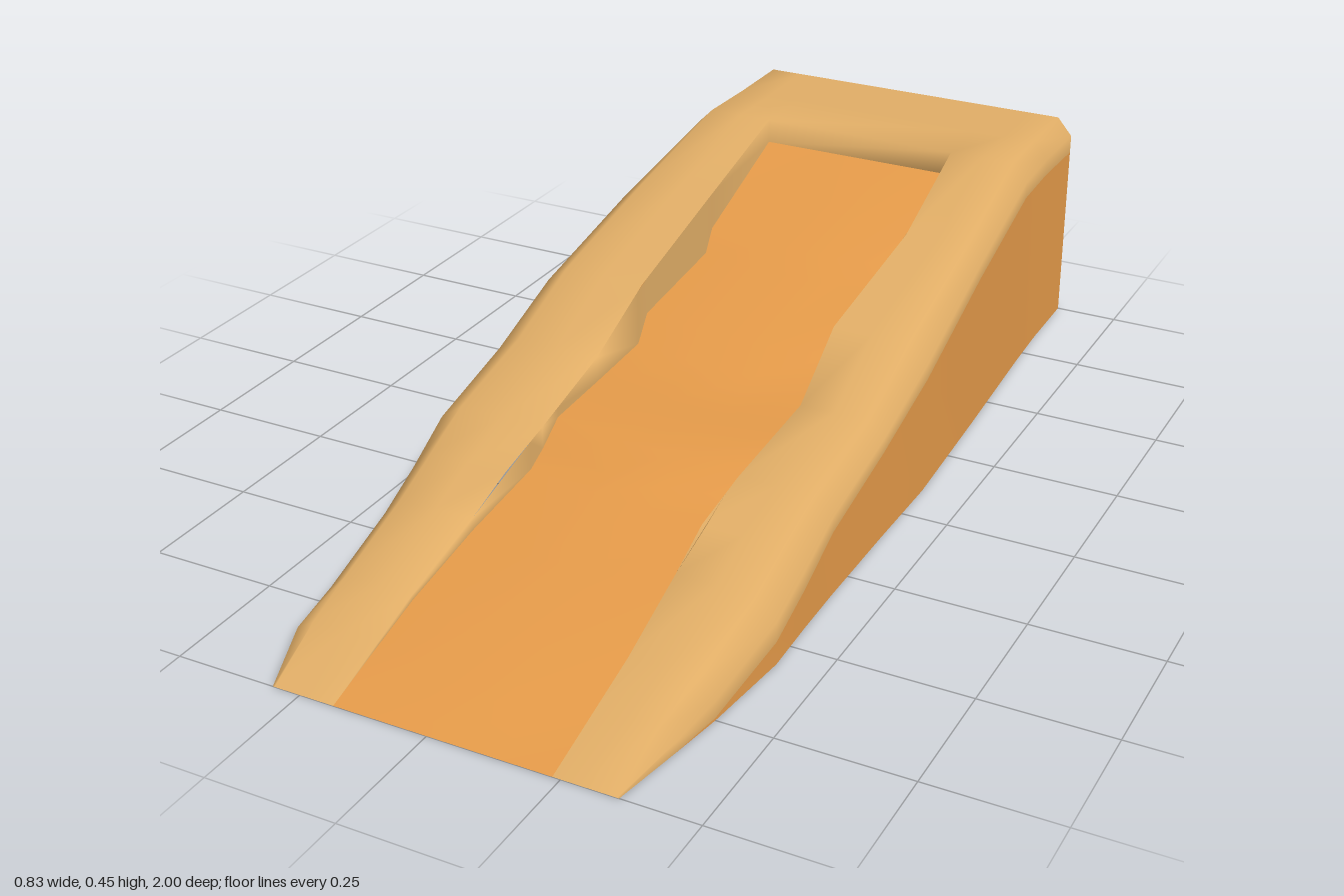
import * as THREE from 'three';
import { mergeGeometries, mergeVertices } from 'three/addons/utils/BufferGeometryUtils.js';

// Stations from back to front:
// z, crest y, lower rim edge y, outer left x, outer right x, inner left x, inner right x
const stations = [
  [-1.0, 0.45, 0.375, -0.38, 0.37, -0.21, 0.21],
  [-0.84, 0.45, 0.38, -0.38, 0.372, -0.21, 0.21],
  [-0.7, 0.45, 0.38, -0.385, 0.378, -0.212, 0.208],
  [-0.4, 0.385, 0.32, -0.4, 0.395, -0.202, 0.235],
  [-0.1, 0.307, 0.24, -0.415, 0.41, -0.2, 0.215],
  [0.1, 0.238, 0.18, -0.41, 0.408, -0.19, 0.24],
  [0.32, 0.194, 0.13, -0.404, 0.408, -0.182, 0.222],
  [0.44, 0.156, 0.08, -0.39, 0.41, -0.19, 0.211],
  [0.56, 0.124, 0.045, -0.375, 0.414, -0.186, 0.222],
  [0.75, 0.071, 0.005, -0.362, 0.395, -0.19, 0.233],
  [0.86, 0.04, 0, -0.355, 0.378, -0.187, 0.234],
  [1.0, 0, 0, -0.305, 0.355, -0.183, 0.235],
].map(([z, top, low, outL, outR, inL, inR]) => ({ z, top, low, outL, outR, inL, inR }));

// Channel floor profile: z, y of treads and drops
const steps = [
  [-0.7, 0.4], [-0.41, 0.31], [-0.38, 0.265], [-0.12, 0.237], [-0.08, 0.187],
  [0.1, 0.187], [0.26, 0.186], [0.32, 0.15], [0.36, 0.125], [0.56, 0.1],
  [0.75, 0.06], [0.86, 0.034], [1, 0],
];

const lerp = THREE.MathUtils.lerp;

// Rim measurements at any z
function stationAt(z) {
  const i = Math.max(1, stations.findIndex((s) => s.z >= z));
  const a = stations[i - 1], b = stations[i];
  const t = (z - a.z) / (b.z - a.z);
  return Object.fromEntries(Object.keys(a).map((k) => [k, lerp(a[k], b[k], t)]));
}

// Surface through rows of points; rows run toward +z
function loft(rows) {
  const cols = rows[0].length;
  const index = [];
  for (let r = 0; r < rows.length - 1; r++) {
    for (let c = 0; c < cols - 1; c++) {
      const a = r * cols + c, b = a + cols;
      index.push(a, b, a + 1, a + 1, b, b + 1);
    }
  }
  const g = new THREE.BufferGeometry();
  g.setAttribute('position', new THREE.Float32BufferAttribute(rows.flat(2), 3));
  g.setIndex(index);
  return g;
}

function smooth(...parts) {
  const g = mergeVertices(mergeGeometries(parts), 1e-4);
  g.computeVertexNormals();
  return g;
}

// Rim section from the outer edge over the crest to the channel
function rimSection(s, outer, inner) {
  const w = inner - outer;
  return [
    [outer, s.low, s.z],
    [outer, lerp(s.low, s.top, 0.5), s.z],
    [outer + w * (s.top > 0 ? 0.2 : 0.03), s.top, s.z],
    [outer + w * 0.6, s.top, s.z],
    [inner, s.top, s.z],
  ];
}

export function createModel() {
  const group = new THREE.Group();
  const rimMat = new THREE.MeshStandardMaterial({ color: 0xe0ad66, side: THREE.DoubleSide });
  rimMat.name = 'light sand';
  const earthMat = new THREE.MeshStandardMaterial({ color: 0xe49a49, side: THREE.DoubleSide });
  earthMat.name = 'orange earth';
  const add = (name, geometry, material) => {
    const mesh = new THREE.Mesh(geometry, material);
    mesh.name = name;
    group.add(mesh);
  };

  // Rim: two side strips joined by the flat top, with banks dropping into the channel
  const channel = steps.map(([z, floor]) => ({ ...stationAt(z), floor }));
  const head = channel[0];
  const across = (s, y) => [[s.inL, y, s.z], [s.inR, y, s.z]];
  add('rim', smooth(
    loft(stations.map((s) => rimSection(s, s.outL, s.inL))),
    loft(stations.map((s) => rimSection(s, s.outR, s.inR).reverse())),
    loft([...stations.slice(0, 3).map((s) => across(s, s.top)), across(head, head.floor)]),
    loft(channel.map((s) => [[s.inL, s.top, s.z], [s.inL, s.floor, s.z]])),
    loft(channel.map((s) => [[s.inR, s.floor, s.z], [s.inR, s.top, s.z]])),
  ), rimMat);

  // Stepped channel floor, its steps bowed toward the front
  add('channelFloor', smooth(loft(channel.map((s, i) => {
    const bow = i > 0 && i < channel.length - 1 ? 0.03 : 0;
    return [0, 0.35, 0.65, 1].map((t) => [
      lerp(s.inL, s.inR, t), s.floor, s.z + bow * Math.sin(Math.PI * t)]);
  }))), earthMat);

  // Upright side walls, open at the back and below
  add('rightWall', smooth(loft(stations.map((s) => [[s.outL, 0, s.z], [s.outL, s.low, s.z]]))), earthMat);
  add('leftWall', smooth(loft(stations.map((s) => [[s.outR, s.low, s.z], [s.outR, 0, s.z]]))), earthMat);

  return group;
}
